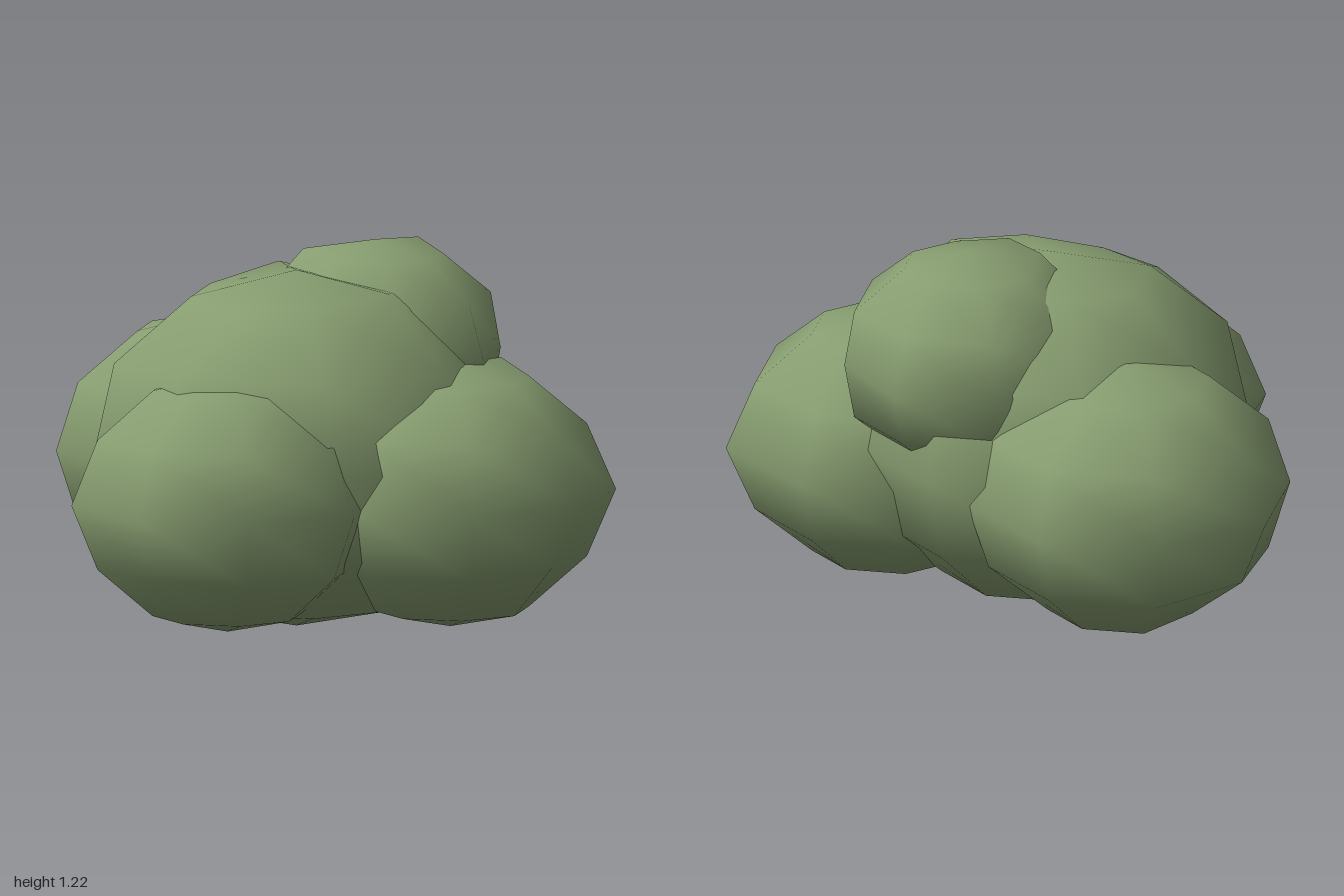
import * as THREE from 'three';

const SIDES = 8;
const RINGS = 6;

// Each leaf clump: centre, horizontal radius, vertical radius, and lumps.
// A lump [ring, side, factor] pushes one point of the ball out or in;
// ring 0 is the top, side 0 is -x, 2 is +z, 4 is +x, 6 is -z.
const CLUMPS = [
  {
    name: 'mainClump', centre: [0, 0.575, -0.09], radius: 0.68, height: 0.575,
    lumps: [[1, 2, 0.96], [1, 4, 1.07], [1, 7, 1.09], [2, 2, 1.08], [2, 4, 1.02], [2, 7, 1.08], [3, 0, 0.93], [3, 1, 0.96]],
  },
  {
    name: 'topClump', centre: [0.1, 0.86, -0.38], radius: 0.43, height: 0.36,
    lumps: [[1, 1, 1.08], [1, 2, 1.06], [1, 6, 1.08], [2, 6, 0.97], [3, 0, 0.93], [3, 5, 0.94]],
  },
  {
    name: 'frontClump', centre: [0.05, 0.465, 0.35], radius: 0.485, height: 0.42,
    lumps: [[3, 1, 1.04], [3, 3, 0.93], [3, 4, 1.03], [4, 2, 0.97]],
  },
  {
    name: 'leftClump', centre: [0.49, 0.455, -0.25], radius: 0.51, height: 0.43,
    lumps: [[0, 0, 0.96], [1, 6, 1.08], [2, 2, 1.06], [2, 6, 0.97], [3, 3, 0.96], [3, 5, 1.05], [4, 4, 0.92]],
  },
  {
    name: 'rightClump', centre: [-0.475, 0.5, -0.32], radius: 0.525, height: 0.44,
    lumps: [[3, 6, 0.98], [3, 7, 0.96], [4, 0, 0.96], [5, 0, 0.94]],
  },
];

// Squashed low-sided ball with smooth normals and a few points pushed in or out
function lumpyBall({ radius, height, lumps }) {
  const geometry = new THREE.SphereGeometry(1, SIDES, RINGS);
  const position = geometry.attributes.position;
  const point = new THREE.Vector3();
  for (const [ring, side, factor] of lumps) {
    for (let i = 0; i <= SIDES; i++) {
      // Poles move whole; the seam column repeats side 0
      if (ring !== 0 && i % SIDES !== side) continue;
      const index = ring * (SIDES + 1) + i;
      point.fromBufferAttribute(position, index).multiplyScalar(factor);
      position.setXYZ(index, point.x, point.y, point.z);
    }
  }
  return geometry.scale(radius, height, radius);
}

export function createModel() {
  const bush = new THREE.Group();
  bush.name = 'bush';
  const foliage = new THREE.MeshStandardMaterial({ color: 0x879d70 });

  for (const clump of CLUMPS) {
    const mesh = new THREE.Mesh(lumpyBall(clump), foliage);
    mesh.name = clump.name;
    mesh.position.set(...clump.centre);
    bush.add(mesh);
  }
  return bush;
}
